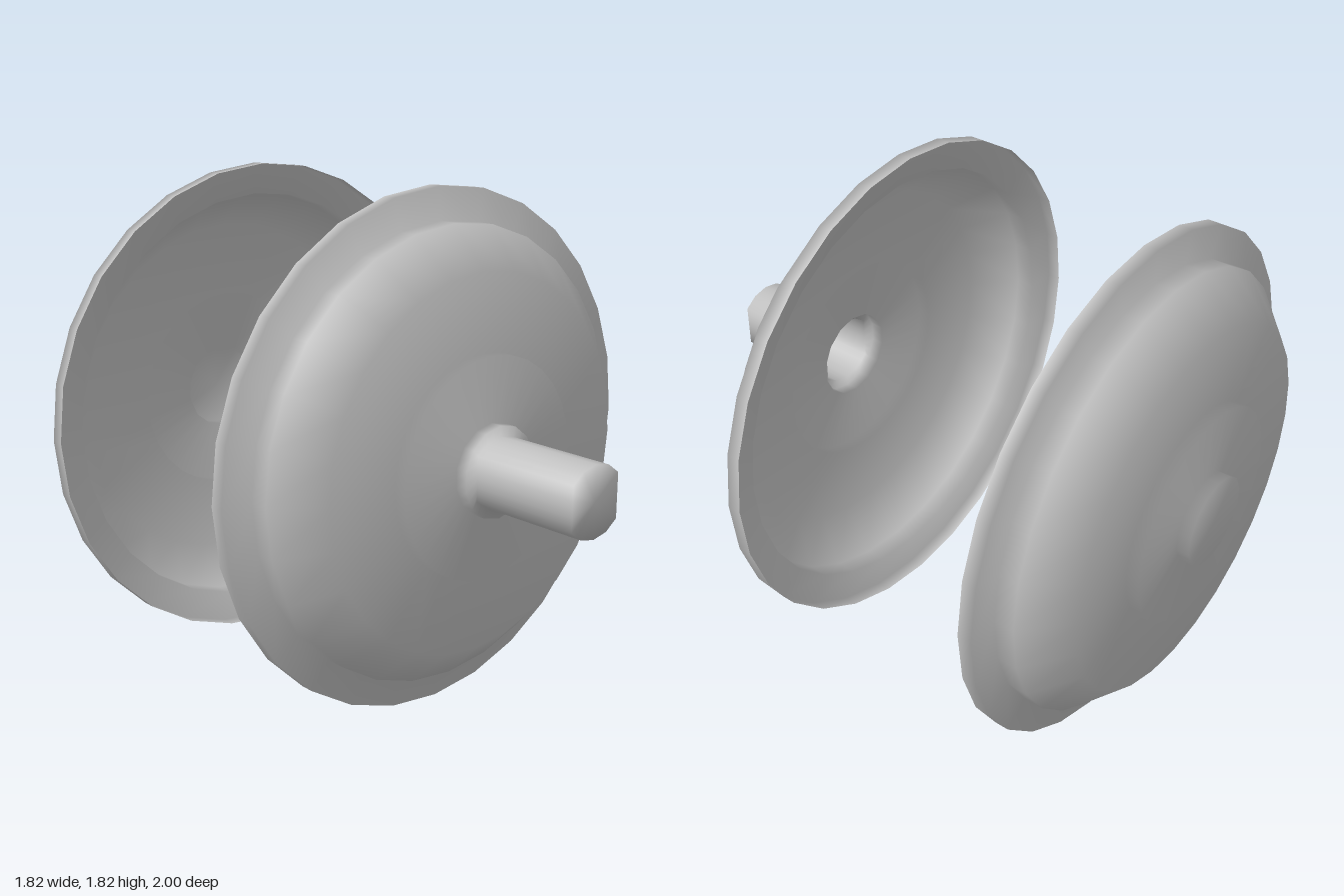
import * as THREE from 'three';

const SIDES = 28;
const AXLE_Y = 0.915;

// Stepped dish profile: [radius, distance from the open rim]
const DISH = [
  [0.91, 0], [0.91, 0.05],        // flange
  [0.795, 0.05], [0.795, 0.12],   // wall
  [0.655, 0.255], [0.385, 0.255], // bevel and face
  [0.385, 0.3], [0.16, 0.3],      // raised disc
  [0.16, 0.345],                  // hub
];
const SHAFT_R = 0.123;

// Smooth open shell spun round the z axis; hub and shaft have half as many sides
function shell(profile) {
  const geo = new THREE.LatheGeometry(profile.map(([r, d]) => new THREE.Vector2(r, d)), SIDES);
  const pos = geo.attributes.position;
  const n = profile.length;
  for (let i = 0; i <= SIDES; i++) {
    for (let j = 0; j < n; j++) {
      const r = profile[j][0];
      if (r > 0.2) continue;
      const k = i * n + j;
      const s = i % 2 ? Math.cos((2 * Math.PI) / SIDES) : 1;
      let x = pos.getX(k) * s;
      // Shaft has flattened left and right sides
      if (r === SHAFT_R) x = THREE.MathUtils.clamp(x, -0.096, 0.096) * 1.1;
      pos.setX(k, x);
      pos.setZ(k, pos.getZ(k) * s);
    }
  }
  geo.rotateX(Math.PI / 2);
  return geo;
}

export function createModel() {
  const model = new THREE.Group();
  model.name = 'wheelPair';
  const steel = new THREE.MeshStandardMaterial({ color: 0xc0c0c0, side: THREE.DoubleSide });
  steel.name = 'greySteel';

  // Front dish continues into a closed shaft
  const front = new THREE.Mesh(
    shell([...DISH, [SHAFT_R, 0.345], [SHAFT_R, 0.75], [0, 0.75]]), steel);
  front.name = 'frontDishWithShaft';
  front.position.set(0, AXLE_Y, 0.25);

  // Back dish ends in a closed hub
  const back = new THREE.Mesh(shell([...DISH, [0, 0.345]]), steel);
  back.name = 'backDish';
  back.position.set(0, AXLE_Y, -0.655);
  back.rotation.y = Math.PI;

  model.add(front, back);
  return model;
}
